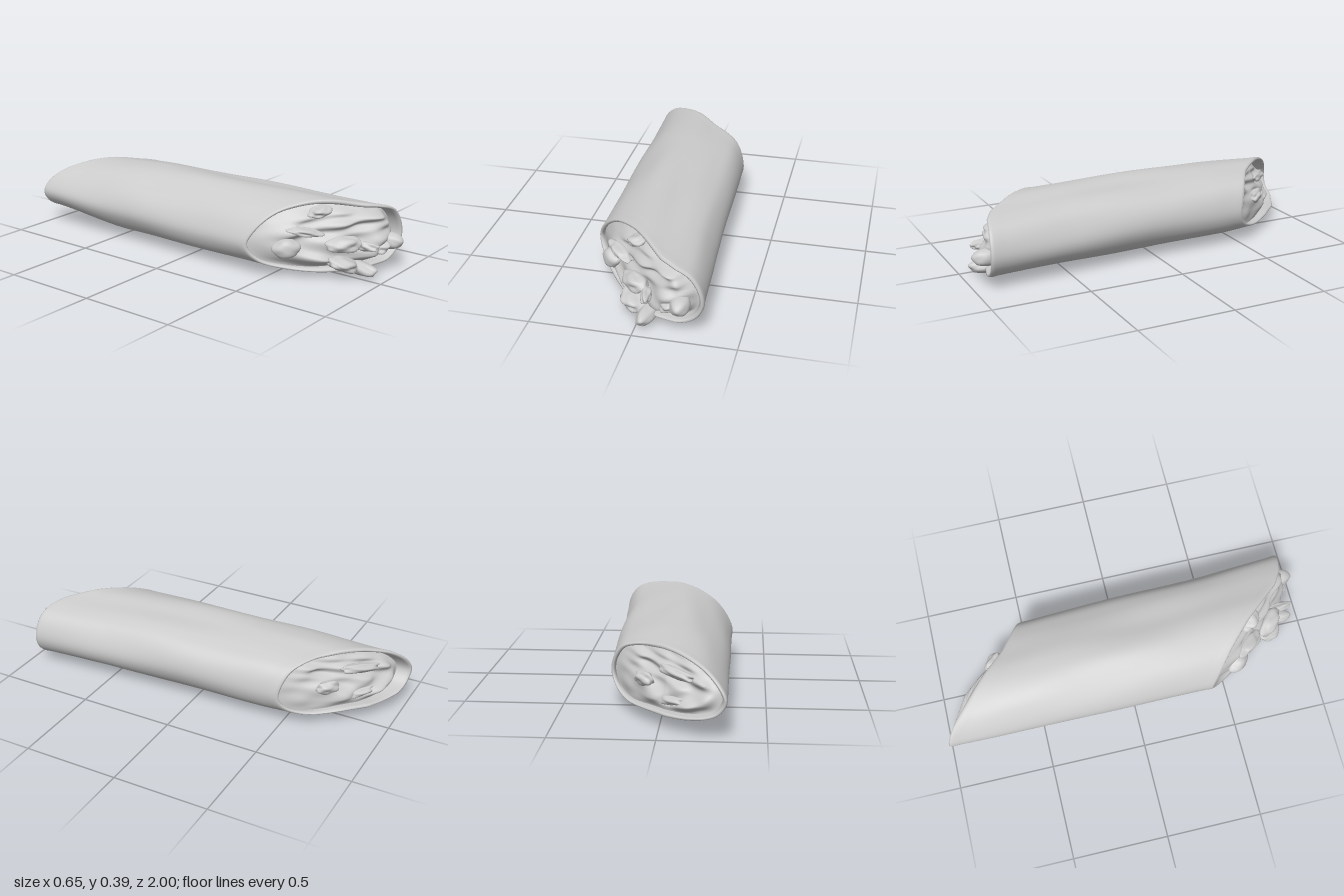
import * as THREE from 'three';

const N = 96; // points around the wrap
const grey = new THREE.MeshStandardMaterial({ color: 0xcccccc, side: THREE.DoubleSide });
const { lerp, smoothstep, clamp } = THREE.MathUtils;

// Cross-section of the wrap, counter-clockwise seen from the front
const section = new THREE.CatmullRomCurve3([
  [0.33, 0.17], [0.315, 0.25], [0.27, 0.315], [0.2, 0.348], [0.1, 0.371], [0, 0.389],
  [-0.1, 0.378], [-0.22, 0.325], [-0.3, 0.24], [-0.328, 0.16], [-0.285, 0.08], [-0.2, 0.043],
  [-0.1, 0.025], [0, 0.027], [0.1, 0.037], [0.23, 0.053], [0.3, 0.1],
].map(([x, y]) => new THREE.Vector3(x, y, 0)), true).getSpacedPoints(N).slice(0, N);
const centre = new THREE.Vector2(0, 0.2);

// Piecewise-linear lookup
function along(pts, x) {
  let i = 1;
  while (i < pts.length - 1 && x > pts[i][0]) i++;
  const [a, b] = [pts[i - 1], pts[i]];
  return lerp(a[1], b[1], clamp((x - a[0]) / (b[0] - a[0]), 0, 1));
}

// Slanted cuts: z of the upper and lower lip against x
const cuts = {
  front: {
    upper: [[-0.33, 0.42], [-0.2, 0.53], [-0.06, 0.66], [0.04, 0.77], [0.12, 0.86], [0.2, 0.905], [0.33, 0.935]],
    lower: [[-0.33, 0.42], [-0.22, 0.57], [-0.1, 0.72], [0, 0.82], [0.1, 0.89], [0.2, 0.92], [0.33, 0.935]],
  },
  back: {
    upper: [[-0.33, -1], [-0.2, -0.9], [0, -0.74], [0.12, -0.63], [0.33, -0.5]],
    lower: [[-0.33, -1], [-0.2, -0.975], [0, -0.88], [0.12, -0.77], [0.22, -0.65], [0.33, -0.5]],
  },
};
function cutZ(end, x, y) {
  const v = smoothstep(y, 0.04, 0.37);
  return lerp(along(cuts[end].lower, x), along(cuts[end].upper, x), v);
}

// Gentle narrowing of the wrap along its length
function place(x, y, z) {
  const right = along([[-0.5, 0.262], [-0.35, 0.27], [0, 0.282], [0.5, 0.3], [0.93, 0.33]], z);
  const px = lerp(-0.322, right, (x + 0.33) / 0.66);
  const low = 0.05 * smoothstep(-z, 0.4, 1.0);
  const high = 0.025 * smoothstep(-z, 0.35, 0.9) + 0.012 * smoothstep(z, 0.1, 0.9);
  const v = clamp((y - 0.025) / 0.365, 0, 1);
  return [px, y + low * (1 - v) - high * v, z];
}

function inset(p, d) {
  const dir = new THREE.Vector2(p.x, p.y).sub(centre);
  const k = 1 - d / dir.length();
  return [centre.x + dir.x * k, centre.y + dir.y * k];
}

// Surface through closed rings of N points each
function loft(rings, name, flip = false) {
  const index = [];
  for (let r = 0; r < rings.length - 1; r++) {
    for (let i = 0; i < N; i++) {
      const j = (i + 1) % N;
      const [a, b, c, d] = [r * N + i, r * N + j, (r + 1) * N + j, (r + 1) * N + i];
      index.push(...(flip ? [a, c, b, a, d, c] : [a, b, c, a, c, d]));
    }
  }
  const geo = new THREE.BufferGeometry();
  geo.setAttribute('position', new THREE.Float32BufferAttribute(rings.flat(2), 3));
  geo.setIndex(index);
  geo.computeVertexNormals();
  const mesh = new THREE.Mesh(geo, grey);
  mesh.name = name;
  return mesh;
}

// Rolled flatbread: inside of back, lip, outside, lip, inside of front
function makeWrap() {
  const lip = [[0.026, 0.22], [0.026, 0.1], [0.025, 0.02], [0.02, 0.005], [0.011, 0], [0.003, 0.006], [0, 0.02]];
  const endRing = (end, [d, depth]) => section.map((p) => {
    const [x, y] = inset(p, d);
    return place(x, y, cutZ(end, p.x, p.y) + (end === 'front' ? -depth : depth));
  });
  const rings = lip.map((l) => endRing('back', l));
  const steps = 40;
  for (let s = 1; s < steps; s++) {
    rings.push(section.map((p, i) => {
      const t = s / steps;
      const z = lerp(cutZ('back', p.x, p.y) + 0.02, cutZ('front', p.x, p.y) - 0.02, t);
      // soft creases that run lengthwise and drift sideways
      const a = (i / N) * Math.PI * 2;
      const ripple = 0.003 * Math.sin(Math.PI * t) * (Math.sin(7 * a + 3 * z) + Math.sin(4 * a - 7 * z));
      const [x, y] = inset(p, 0.002 - ripple);
      return place(x, y, z);
    }));
  }
  rings.push(...lip.slice().reverse().map((l) => endRing('front', l)));
  return loft(rings, 'wrap');
}

const bumps = (x, y) => 0.5 * Math.sin(19 * x + 9 * Math.sin(11 * y)) * Math.cos(24 * y - 6 * x)
  + 0.3 * Math.sin(37 * x - 21 * y + 1) + 0.2 * Math.sin(55 * y + 28 * x);

// Lumpy filling that closes one end
function makeFilling(end, edge, swell, rough) {
  const sign = end === 'front' ? 1 : -1;
  const rings = [];
  for (let k = 0; k <= 30; k++) {
    const r = 1 - (k / 30) * 0.999;
    rings.push(section.map((p) => {
      const [ex, ey] = inset(p, 0.02);
      const x = lerp(centre.x, ex, r), y = lerp(centre.y, ey, r);
      const rise = smoothstep(1 - r, 0, 0.35);
      return place(x, y, cutZ(end, x, y) + sign * (edge + swell * rise + rough * rise * bumps(x, y)));
    }));
  }
  return loft(rings, end + 'Filling', end === 'back');
}

// Soft irregular chunk of filling
function makeLump(name, [x, y, z], [sx, sy, sz], [rx, ry, rz] = [0, 0, 0], rough = 0.12) {
  const geo = new THREE.SphereGeometry(1, 32, 20);
  const pos = geo.attributes.position;
  const v = new THREE.Vector3();
  for (let i = 0; i < pos.count; i++) {
    v.fromBufferAttribute(pos, i);
    const k = 1 + rough * Math.sin(4 * v.x + 9 * x) * Math.cos(5 * v.y + 20 * z) + rough * 0.6 * Math.sin(6 * v.z + 4 * v.y);
    pos.setXYZ(i, v.x * k * sx, v.y * k * sy, v.z * k * sz);
  }
  geo.computeVertexNormals();
  const mesh = new THREE.Mesh(geo, grey);
  mesh.name = name;
  mesh.position.set(x, y, z);
  mesh.rotation.set(rx, ry, rz);
  return mesh;
}

export function createModel() {
  const model = new THREE.Group();
  model.name = 'wrapRoll';
  model.add(makeWrap(), makeFilling('front', -0.06, 0.075, 0.035), makeFilling('back', -0.07, 0.03, 0.03));

  // Chunks poking out of the front cut
  const chunks = new THREE.Group();
  chunks.name = 'frontChunks';
  chunks.add(
    makeLump('roundChunk', [0.215, 0.155, 0.92], [0.048, 0.044, 0.075], [0, 0, 0], 0.04),
    makeLump('sideChunk', [0.16, 0.135, 0.9], [0.05, 0.03, 0.05], [0, 0, 0.4]),
    makeLump('hangingChunk', [0.045, 0.042, 0.86], [0.042, 0.037, 0.1], [0, -0.2, 0], 0.06),
    makeLump('hangingFold', [-0.03, 0.07, 0.8], [0.08, 0.035, 0.07], [0, -0.6, -0.25]),
    makeLump('centreSlice', [-0.03, 0.17, 0.8], [0.09, 0.04, 0.05], [0, -0.75, 0.05]),
    makeLump('leafTip', [0.045, 0.16, 0.88], [0.025, 0.025, 0.07], [0, 0.1, 0], 0.15),
    makeLump('upperChunk', [-0.045, 0.32, 0.67], [0.06, 0.027, 0.05], [0, -0.75, 0.2]),
    makeLump('leftSlice', [-0.14, 0.235, 0.65], [0.09, 0.02, 0.04], [0, -0.8, -0.15]),
    makeLump('lowerLeftChunk', [-0.2, 0.15, 0.58], [0.07, 0.05, 0.05], [0, -0.9, 0.1], 0.06),
  );
  model.add(chunks);

  // Shreds showing inside the back cut
  const shreds = new THREE.Group();
  shreds.name = 'backShreds';
  shreds.add(
    makeLump('longShred', [-0.08, 0.26, -0.8], [0.11, 0.025, 0.03], [0, -0.7, 0.1]),
    makeLump('shortShred', [0.08, 0.2, -0.69], [0.06, 0.035, 0.03], [0, -0.8, 0]),
    makeLump('lowShred', [-0.06, 0.13, -0.81], [0.08, 0.025, 0.03], [0, -0.7, -0.1]),
  );
  model.add(shreds);
  return model;
}
